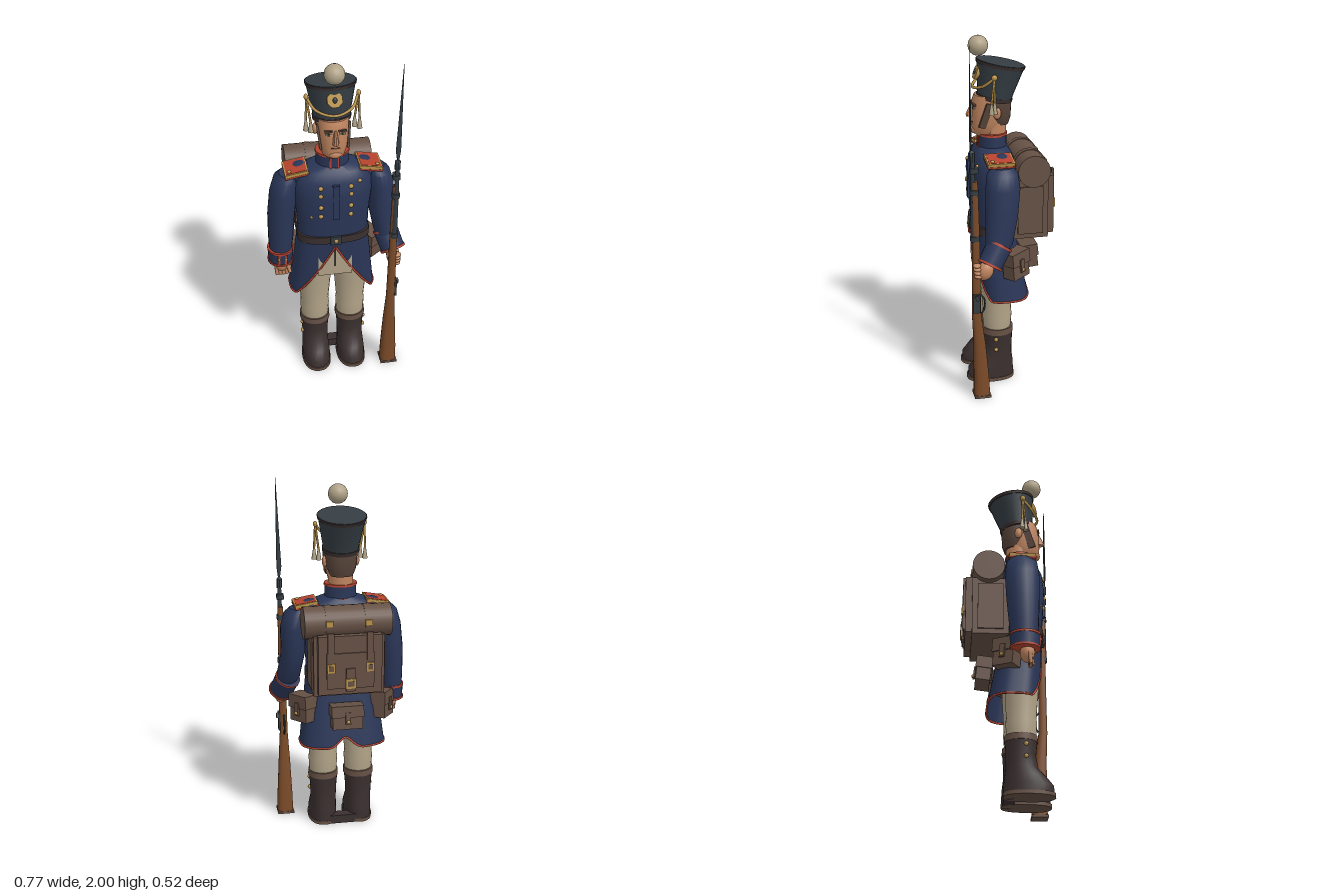
import * as THREE from 'three';
import { toCreasedNormals } from 'three/addons/utils/BufferGeometryUtils.js';
import { ParametricGeometry } from 'three/addons/geometries/ParametricGeometry.js';

const mat = (name, color, side = THREE.FrontSide) => {
  const m = new THREE.MeshStandardMaterial({ color, side });
  m.name = name;
  return m;
};
const CX = -0.012; // body centre line

export function createModel() {
  const navy = mat('navy cloth', 0x2a3657, THREE.DoubleSide), red = mat('red trim', 0xb5432f);
  const gold = mat('brass', 0xb8924a), beige = mat('cream cloth', 0xb0a287);
  const skin = mat('skin', 0xc08560), boot = mat('boot leather', 0x3a2f2f);
  const pack = mat('pack leather', 0x665145), slate = mat('dark slate', 0x343d43);
  const wood = mat('wood', 0x7a4a28), hair = mat('hair', 0x57443a);
  const model = new THREE.Group();
  model.name = 'soldier';

  const add = (name, geo, m, p = [0, 0, 0], r = [0, 0, 0], parent = model) => {
    const mesh = new THREE.Mesh(geo, m);
    mesh.name = name;
    mesh.position.set(...p);
    mesh.rotation.set(...r);
    parent.add(mesh);
    return mesh;
  };
  const box = (name, m, size, p, r, parent) => add(name, new THREE.BoxGeometry(...size), m, p, r, parent);
  const ball = (name, m, radii, p, r, parent) => {
    const b = add(name, new THREE.SphereGeometry(1, 16, 12), m, p, r, parent);
    b.scale.set(...radii);
    return b;
  };
  // cylinder between two points
  const rod = (name, m, a, b, ra, rb = ra, seg = 14) => {
    const A = new THREE.Vector3(...a), B = new THREE.Vector3(...b), d = B.clone().sub(A);
    const mesh = add(name, new THREE.CylinderGeometry(rb, ra, d.length(), seg), m);
    mesh.position.copy(A).lerp(B, 0.5);
    mesh.quaternion.setFromUnitVectors(new THREE.Vector3(0, 1, 0), d.normalize());
    return mesh;
  };
  const pw = (v, n) => Math.sign(v) * Math.abs(v) ** (2 / n);
  // closed skin over superellipse rings [y, x, z, rx, rz], bottom to top
  const loft = (name, m, rings, n = 2, seg = 24, parent = model) => {
    const first = rings[0], last = rings[rings.length - 1], pos = [], idx = [];
    const all = [[...first.slice(0, 3), 0, 0], ...rings, [...last.slice(0, 3), 0, 0]];
    all.forEach(([y, x, z, rx, rz], j) => {
      for (let i = 0; i <= seg; i++) {
        const a = (i / seg) * Math.PI * 2;
        pos.push(x + rx * pw(Math.sin(a), n), y, z + rz * pw(Math.cos(a), n));
        if (j && i) {
          const q = j * (seg + 1) + i, p = q - seg - 1;
          idx.push(p - 1, p, q, p - 1, q, q - 1);
        }
      }
    });
    const g = new THREE.BufferGeometry();
    g.setAttribute('position', new THREE.Float32BufferAttribute(pos, 3));
    g.setIndex(idx);
    return add(name, toCreasedNormals(g, 0.7), m, undefined, undefined, parent);
  };
  const tube = (name, m, pts, r, parent) => add(name, new THREE.TubeGeometry(
    new THREE.CatmullRomCurve3(pts.map((p) => new THREE.Vector3(...p))), pts.length * 5, r, 6), m, undefined, undefined, parent);

  // coat body, collar and belt
  loft('coatBody', navy, [[0.9, CX, 0.08, 0.195, 0.11], [1.05, CX, 0.08, 0.2, 0.12], [1.2, CX, 0.08, 0.215, 0.13],
    [1.29, CX, 0.077, 0.212, 0.122], [1.34, CX, 0.075, 0.175, 0.1], [1.37, CX, 0.073, 0.09, 0.075]], 2.4, 32);
  loft('collar', navy, [[1.35, CX, 0.073, 0.09, 0.08], [1.44, CX, 0.073, 0.088, 0.078]]);
  for (const y of [1.358, 1.437]) loft('collarTrim', red, [[y - 0.006, CX, 0.073, 0.093, 0.083], [y + 0.006, CX, 0.073, 0.092, 0.082]]);
  for (const s of [-1, 1]) box('collarFrontTrim', red, [0.009, 0.08, 0.008], [CX + s * 0.022, 1.4, 0.15]);
  loft('belt', boot, [[0.9, CX, 0.08, 0.203, 0.12], [0.945, CX, 0.08, 0.203, 0.12]], 2.8, 32);
  box('beltPlate', slate, [0.06, 0.052, 0.012], [CX, 0.924, 0.204]);
  ball('beltStud', gold, [0.012, 0.012, 0.008], [CX, 0.924, 0.21]);
  box('placket', navy, [0.036, 0.215, 0.03], [CX, 1.18, 0.2]);
  for (const s of [-1, 1]) for (const y of [1.27, 1.222, 1.15, 1.09])
    ball('coatButton', gold, [0.013, 0.013, 0.01], [CX + s * 0.082, y, y === 1.15 ? 0.203 : 0.198]);
  for (const [x, y, z] of [[-0.14, 1.08, 0.175], [0.12, 1.29, 0.18]]) ball('coatButton', gold, [0.011, 0.011, 0.01], [x, y, z]);

  // cutaway coat skirt with a small rear vent
  const hem = (a) => {
    const sx = Math.abs(pw(Math.sin(a), 3));
    return Math.cos(a) > 0 ? 0.87 - 0.35 * Math.min(1, sx / 0.9) : 0.52 + 0.06 * Math.max(0, 1 - sx / 0.35);
  };
  const skirtPoint = (u, v, t) => {
    const a = u * Math.PI * 2, y = 0.93 + (hem(a) - 0.93) * v, k = (0.93 - y) / 0.41;
    return t.set(CX + (0.195 + 0.047 * k) * pw(Math.sin(a), 3), y, 0.08 - 0.05 * k + (0.112 + 0.028 * k) * pw(Math.cos(a), 3));
  };
  add('coatSkirt', new ParametricGeometry(skirtPoint, 72, 6), navy);
  const edge = [];
  for (let i = 0; i <= 72; i++) edge.push(skirtPoint(i / 72, 1, new THREE.Vector3()).toArray());
  tube('skirtTrim', red, edge, 0.006);

  // trousers and boots
  loft('trouserSeat', beige, [[0.68, CX, 0.07, 0.15, 0.08], [0.75, CX, 0.075, 0.18, 0.098], [0.9, CX, 0.078, 0.185, 0.1]], 2.5);
  box('trouserFlap', beige, [0.19, 0.2, 0.02], [CX, 0.77, 0.171]);
  box('fly', slate, [0.008, 0.14, 0.006], [CX, 0.8, 0.182]);
  for (const s of [-1, 1]) {
    const x = CX + s * 0.104;
    loft('trouserLeg', beige, [[0.3, x, 0.07, 0.078, 0.076], [0.4, x, 0.07, 0.084, 0.084], [0.43, x, 0.07, 0.08, 0.08],
      [0.6, x, 0.073, 0.094, 0.092], [0.85, x, 0.075, 0.095, 0.098]]);
    loft('bootSole', pack, [[0, x, 0.11, 0.084, 0.137], [0.02, x, 0.11, 0.084, 0.137]], 2.3);
    loft('boot', boot, [[0.02, x, 0.108, 0.08, 0.133], [0.06, x, 0.107, 0.08, 0.13], [0.105, x, 0.09, 0.077, 0.11],
      [0.15, x, 0.072, 0.074, 0.086], [0.22, x, 0.066, 0.076, 0.08], [0.3, x, 0.068, 0.083, 0.086]], 2.2);
    loft('bootCuff', pack, [[0.29, x, 0.068, 0.087, 0.089], [0.325, x, 0.068, 0.086, 0.088]]);
    for (const y of [0.2, 0.265]) ball('bootButton', gold, [0.01, 0.012, 0.012], [x + s * 0.078, y, 0.09]);
    box('bootHeel', boot, [0.12, 0.05, 0.06], [CX + s * 0.06, 0.025, 0.01]);
  }

  // shoulders
  for (const s of [-1, 1]) {
    const e = new THREE.Group();
    e.name = 'epaulette';
    e.position.set(CX + s * 0.2, 1.338, 0.072);
    e.rotation.z = -s * 0.17;
    model.add(e);
    box('epauletteBorder', gold, [0.128, 0.02, 0.148], [0, 0, 0], undefined, e);
    box('epaulettePad', red, [0.112, 0.022, 0.132], [0, 0.001, 0], undefined, e);
    box('epauletteUnderside', red, [0.132, 0.01, 0.15], [0, -0.012, 0], undefined, e);
    ball('epauletteButton', gold, [0.011, 0.008, 0.011], [s * 0.037, 0.013, 0.045], undefined, e);
    ball('shoulder', navy, [0.085, 0.07, 0.08], [CX + s * 0.165, 1.29, 0.055]);
  }
  // hanging right arm
  loft('rightSleeve', navy, [[0.8, -0.307, 0.075, 0.062, 0.072], [0.9, -0.302, 0.073, 0.07, 0.08], [1.05, -0.295, 0.07, 0.076, 0.09],
    [1.2, -0.28, 0.068, 0.075, 0.095], [1.28, -0.265, 0.067, 0.066, 0.085], [1.31, -0.25, 0.066, 0.05, 0.06]], 2, 18);
  loft('rightCuff', navy, [[0.75, -0.308, 0.08, 0.068, 0.076], [0.83, -0.306, 0.077, 0.071, 0.08]], 2, 18);
  for (const y of [0.75, 0.826]) loft('cuffTrim', red, [[y - 0.006, -0.308, 0.079, 0.073, 0.082], [y + 0.006, -0.308, 0.079, 0.073, 0.082]], 2, 18);
  for (const x of [-0.325, -0.285]) {
    box('cuffTab', red, [0.014, 0.06, 0.008], [x, 0.788, 0.155]);
    ball('cuffButton', gold, [0.007, 0.007, 0.006], [x, 0.795, 0.16]);
  }
  ball('rightHand', skin, [0.04, 0.055, 0.04], [-0.306, 0.725, 0.09]);
  for (let i = 0; i < 4; i++) rod('finger', skin, [-0.336 + i * 0.02, 0.715, 0.1], [-0.333 + i * 0.018, 0.655, 0.108], 0.012, 0.01, 8);
  rod('thumb', skin, [-0.275, 0.73, 0.11], [-0.26, 0.675, 0.125], 0.012, 0.01, 8);
  // left arm bent forward to hold the musket
  loft('leftSleeve', navy, [[0.84, 0.3, 0.125, 0.05, 0.055], [0.9, 0.285, 0.095, 0.066, 0.075], [1.05, 0.258, 0.075, 0.068, 0.09],
    [1.2, 0.256, 0.068, 0.073, 0.095], [1.28, 0.24, 0.067, 0.066, 0.085], [1.31, 0.225, 0.066, 0.05, 0.06]], 2, 18);
  const wristA = [0.286, 0.895, 0.092], wristB = [0.318, 0.8, 0.15], unit = [0.27, -0.8, 0.49];
  rod('leftCuff', navy, wristA, wristB, 0.07, 0.068, 18);
  for (const w of [wristA, wristB]) rod('cuffTrim', red, w, w.map((v, i) => v + unit[i] * 0.013), 0.073, 0.073, 18);
  ball('leftHand', skin, [0.038, 0.055, 0.045], [0.318, 0.762, 0.178], [-0.4, 0, 0]);
  for (let i = 0; i < 4; i++) ball('finger', skin, [0.024, 0.012, 0.022], [0.328, 0.8 - i * 0.021, 0.226 - i * 0.003]);

  // head
  loft('head', skin, [[1.425, CX, 0.095, 0.045, 0.06], [1.45, CX, 0.105, 0.062, 0.078], [1.5, CX, 0.1, 0.075, 0.088],
    [1.56, CX, 0.092, 0.081, 0.094], [1.62, CX, 0.085, 0.085, 0.098], [1.655, CX, 0.08, 0.084, 0.09]], 2.3);
  rod('neck', skin, [CX, 1.36, 0.065], [CX, 1.5, 0.065], 0.07);
  loft('hair', hair, [[1.49, CX, 0.035, 0.062, 0.05], [1.53, CX, 0.045, 0.08, 0.072], [1.6, CX, 0.054, 0.089, 0.085], [1.66, CX, 0.06, 0.09, 0.088]], 2.3);
  for (const s of [-1, 1]) {
    box('sideburn', hair, [0.012, 0.14, 0.04], [CX + s * 0.077, 1.55, 0.12], [-0.3, s * 0.15, s * -0.1]);
    ball('ear', skin, [0.014, 0.032, 0.022], [CX + s * 0.09, 1.565, 0.062]);
    box('eye', beige, [0.03, 0.01, 0.006], [CX + s * 0.036, 1.59, 0.181], [0, s * 0.15, 0]);
    box('pupil', slate, [0.011, 0.011, 0.007], [CX + s * 0.036, 1.59, 0.182], [0, s * 0.15, 0]);
    box('brow', hair, [0.042, 0.01, 0.012], [CX + s * 0.037, 1.608, 0.18], [0, s * 0.15, s * -0.08]);
  }
  loft('nose', skin, [[1.535, CX, 0.19, 0.018, 0.026], [1.55, CX, 0.192, 0.016, 0.025], [1.61, CX, 0.178, 0.008, 0.01]], 2, 8);
  box('mouth', hair, [0.048, 0.008, 0.008], [CX, 1.507, 0.184]);
  ball('chin', skin, [0.035, 0.024, 0.022], [CX, 1.462, 0.17]);

  // tall hat leaning back
  const hat = new THREE.Group();
  hat.name = 'hat';
  hat.position.set(CX, 1.625, 0.062);
  hat.rotation.x = -0.19;
  model.add(hat);
  loft('hatCrown', slate, [[0, 0, 0, 0.099, 0.094], [0.035, 0, 0, 0.101, 0.097], [0.205, 0, 0, 0.133, 0.133]], 2, 24, hat);
  loft('hatBase', boot, [[-0.002, 0, 0, 0.102, 0.098], [0.02, 0, 0, 0.104, 0.1]], 2, 24, hat);
  loft('hatRim', boot, [[0.185, 0, 0, 0.133, 0.133], [0.202, 0, 0, 0.137, 0.137]], 2, 24, hat);
  add('hatBadge', new THREE.CylinderGeometry(0.043, 0.043, 0.02, 8), gold, [0, 0.132, 0.118], [Math.PI / 2 - 0.19, Math.PI / 8, 0], hat);
  ball('badgeBoss', slate, [0.012, 0.016, 0.01], [0, 0.132, 0.128], undefined, hat);
  tube('hatCord', gold, [[-0.138, 0.14, 0.045], [-0.095, 0.075, 0.095], [0, 0.048, 0.128], [0.095, 0.075, 0.095], [0.138, 0.14, 0.045]], 0.008, hat);
  for (const s of [-1, 1]) {
    const x = CX + s * 0.137;
    ball('cordRosette', gold, [0.012, 0.016, 0.016], [x, 1.77, 0.085]);
    for (const d of [-0.01, 0.012]) {
      rod('hangingCord', gold, [x, 1.77, 0.085], [x - s * 0.008 + d, 1.625, 0.09 + d], 0.006, 0.006, 6);
      rod('tassel', beige, [x - s * 0.008 + d, 1.57, 0.09 + d], [x - s * 0.008 + d, 1.63, 0.09 + d], 0.015, 0.006, 10);
    }
  }
  ball('pompom', beige, [0.055, 0.055, 0.055], [CX, 1.919, 0.147]);

  // backpack with bedroll
  box('packBody', pack, [0.39, 0.335, 0.2], [CX, 1.045, -0.1]);
  box('packFlap', pack, [0.35, 0.33, 0.037], [CX, 1.06, -0.2175]);
  for (const s of [-1, 1]) box('packSidePanel', pack, [0.012, 0.27, 0.14], [CX + s * 0.198, 1.04, -0.1]);
  box('flapPanel', pack, [0.26, 0.2, 0.012], [CX, 1.03, -0.238]);
  for (const s of [-1, 1]) {
    const x = CX + s * 0.107;
    box('packStrap', pack, [0.036, 0.31, 0.014], [x, 1.09, -0.242]);
    box('packBuckle', gold, [0.044, 0.05, 0.01], [x, 1.05, -0.25]);
    box('buckleCentre', pack, [0.026, 0.03, 0.012], [x, 1.05, -0.251]);
    add('bedrollStrap', new THREE.CylinderGeometry(0.092, 0.092, 0.036, 24), pack, [x, 1.272, -0.112], [0, 0, Math.PI / 2]);
    box('bedrollBuckle', gold, [0.038, 0.03, 0.008], [x, 1.285, -0.204]);
  }
  box('centreStrap', pack, [0.05, 0.13, 0.016], [CX, 0.98, -0.245]);
  box('centreBuckle', gold, [0.06, 0.055, 0.01], [CX, 0.96, -0.254]);
  box('buckleCentre', pack, [0.036, 0.03, 0.012], [CX, 0.96, -0.255]);
  add('bedroll', new THREE.CylinderGeometry(0.089, 0.089, 0.48, 24), pack, [CX, 1.272, -0.112], [0, 0, Math.PI / 2]);

  // belt pouches
  const pouch = (name, size, p, r) => {
    const g = new THREE.Group();
    g.name = name;
    g.position.set(...p);
    g.rotation.set(...r);
    model.add(g);
    const [w, h, d] = size;
    box('pouchBody', pack, size, [0, 0, 0], undefined, g);
    box('pouchLid', pack, [w + 0.012, h * 0.5, d + 0.016], [0, h * 0.28, 0], undefined, g);
    box('pouchTab', pack, [0.03, h * 0.5, 0.01], [0, 0, -d / 2 - 0.01], undefined, g);
    ball('pouchStud', gold, [0.01, 0.01, 0.008], [0, -h * 0.15, -d / 2 - 0.016], undefined, g);
  };
  pouch('backPouch', [0.17, 0.13, 0.08], [CX, 0.72, -0.128], [0.12, 0, 0]);
  for (const s of [-1, 1]) pouch('sidePouch', [0.125, 0.15, 0.08], [CX + s * 0.228, 0.745, -0.012], [0.08, s * -0.95, 0]);

  // musket with bayonet
  loft('musketStock', wood, [[0.012, 0.302, 0.2, 0.047, 0.045], [0.12, 0.302, 0.202, 0.044, 0.042], [0.32, 0.301, 0.21, 0.034, 0.033],
    [0.5, 0.3, 0.225, 0.023, 0.025], [0.65, 0.302, 0.225, 0.022, 0.023], [1, 0.304, 0.226, 0.019, 0.02], [1.27, 0.306, 0.23, 0.016, 0.016]], 3, 16);
  box('buttPlate', pack, [0.096, 0.014, 0.092], [0.302, 0.007, 0.2]);
  box('lockPlate', slate, [0.012, 0.11, 0.04], [0.325, 0.575, 0.228]);
  box('hammer', slate, [0.014, 0.03, 0.022], [0.335, 0.61, 0.225], [0.4, 0, 0]);
  tube('triggerGuard', slate, [[0.3, 0.62, 0.205], [0.3, 0.59, 0.182], [0.3, 0.53, 0.182], [0.3, 0.5, 0.2]], 0.005);
  rod('barrel', slate, [0.304, 0.93, 0.239], [0.309, 1.43, 0.24], 0.014, 0.011, 10);
  for (const y of [0.95, 1.21, 1.33]) loft('barrelBand', slate, [[y - 0.014, 0.306, 0.232, 0.021, 0.024], [y + 0.014, 0.306, 0.232, 0.021, 0.024]], 3, 16);
  loft('bayonet', slate, [[1.38, 0.308, 0.241, 0.016, 0.016], [1.43, 0.308, 0.242, 0.016, 0.016], [1.44, 0.308, 0.246, 0.006, 0.006],
    [1.5, 0.307, 0.25, 0.014, 0.006], [1.62, 0.31, 0.25, 0.011, 0.006], [2, 0.318, 0.252, 0.001, 0.001]], 2, 8);
  return model;
}
